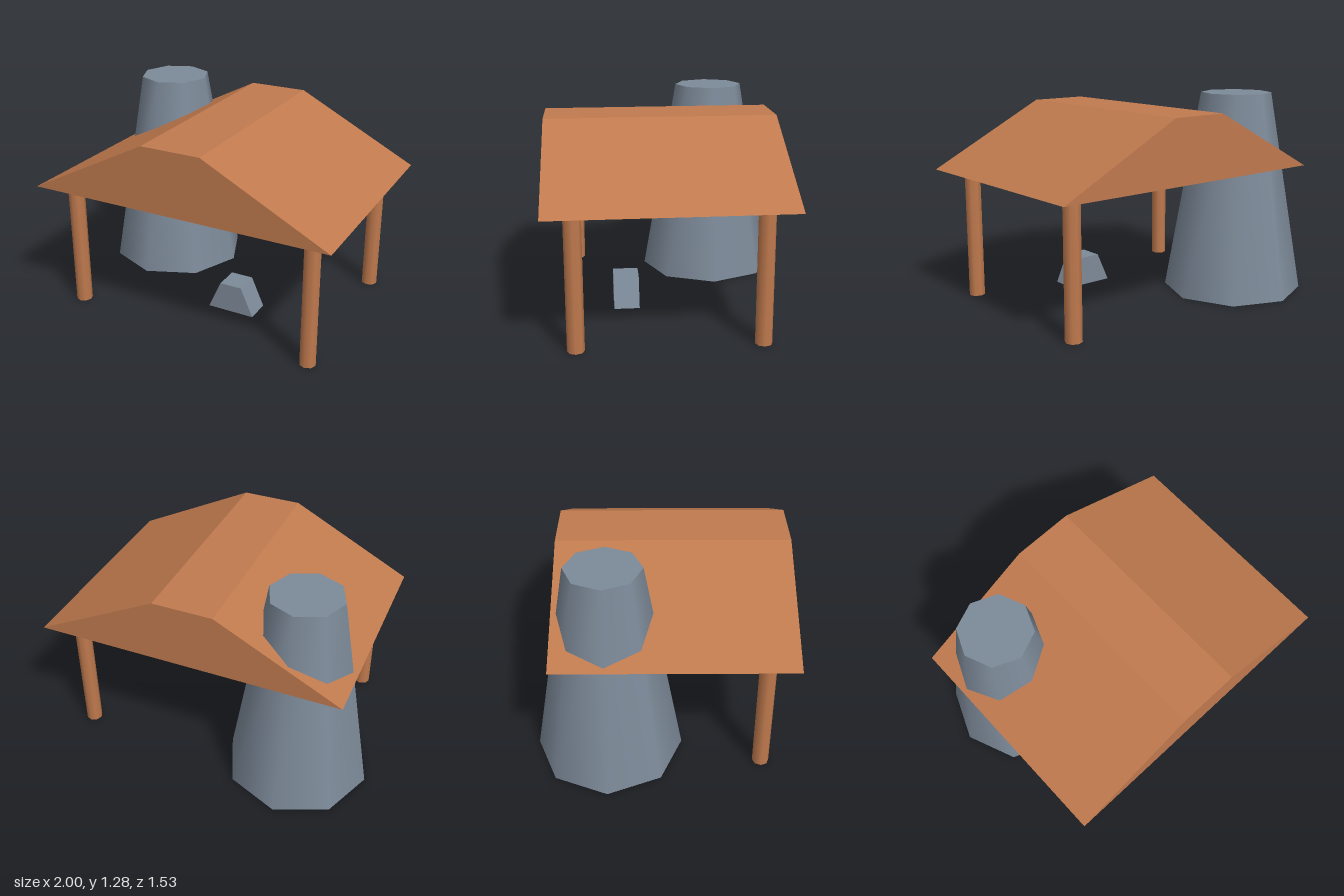
import * as THREE from 'three';

const wood = new THREE.MeshStandardMaterial({ color: 0xc07a4e });
wood.name = 'wood';
const stone = new THREE.MeshStandardMaterial({ color: 0x7d8a99 });
stone.name = 'stone';

// Straight prism from a front outline, running from zBack to zFront
function prism(name, points, zBack, zFront, material) {
  const shape = new THREE.Shape(points.map(([x, y]) => new THREE.Vector2(x, y)));
  const geometry = new THREE.ExtrudeGeometry(shape, { depth: zFront - zBack, bevelEnabled: false });
  const mesh = new THREE.Mesh(geometry, material);
  mesh.name = name;
  mesh.position.z = zBack;
  return mesh;
}

// Upright eight-sided column standing on the ground
function column(name, x, z, topRadius, bottomRadius, height, material) {
  const mesh = new THREE.Mesh(new THREE.CylinderGeometry(topRadius, bottomRadius, height, 8), material);
  mesh.name = name;
  mesh.position.set(x, height / 2, z);
  return mesh;
}

export function createModel() {
  const group = new THREE.Group();
  group.name = 'forgeShelter';

  // Roof with a flat ridge
  group.add(prism('roof', [[-0.89, 0.81], [1, 0.81], [0.24, 1.2], [-0.13, 1.2]], -0.625, 0.765, wood));

  // Four posts; the back right one stands within the chimney
  for (const [side, x] of [['Right', -0.725], ['Left', 0.835]]) {
    for (const [end, z] of [['front', 0.6], ['back', -0.46]]) {
      group.add(column(`${end}${side}Post`, x, z, 0.05, 0.05, 0.81, wood));
    }
  }

  // Tapered furnace chimney passing through the roof
  group.add(column('chimney', -0.56, -0.32, 0.222, 0.443, 1.28, stone));

  // Anvil block under the roof
  group.add(prism('anvil', [[0.07, 0.04], [0.37, 0.04], [0.29, 0.22], [0.15, 0.22]], 0.215, 0.37, stone));

  return group;
}
